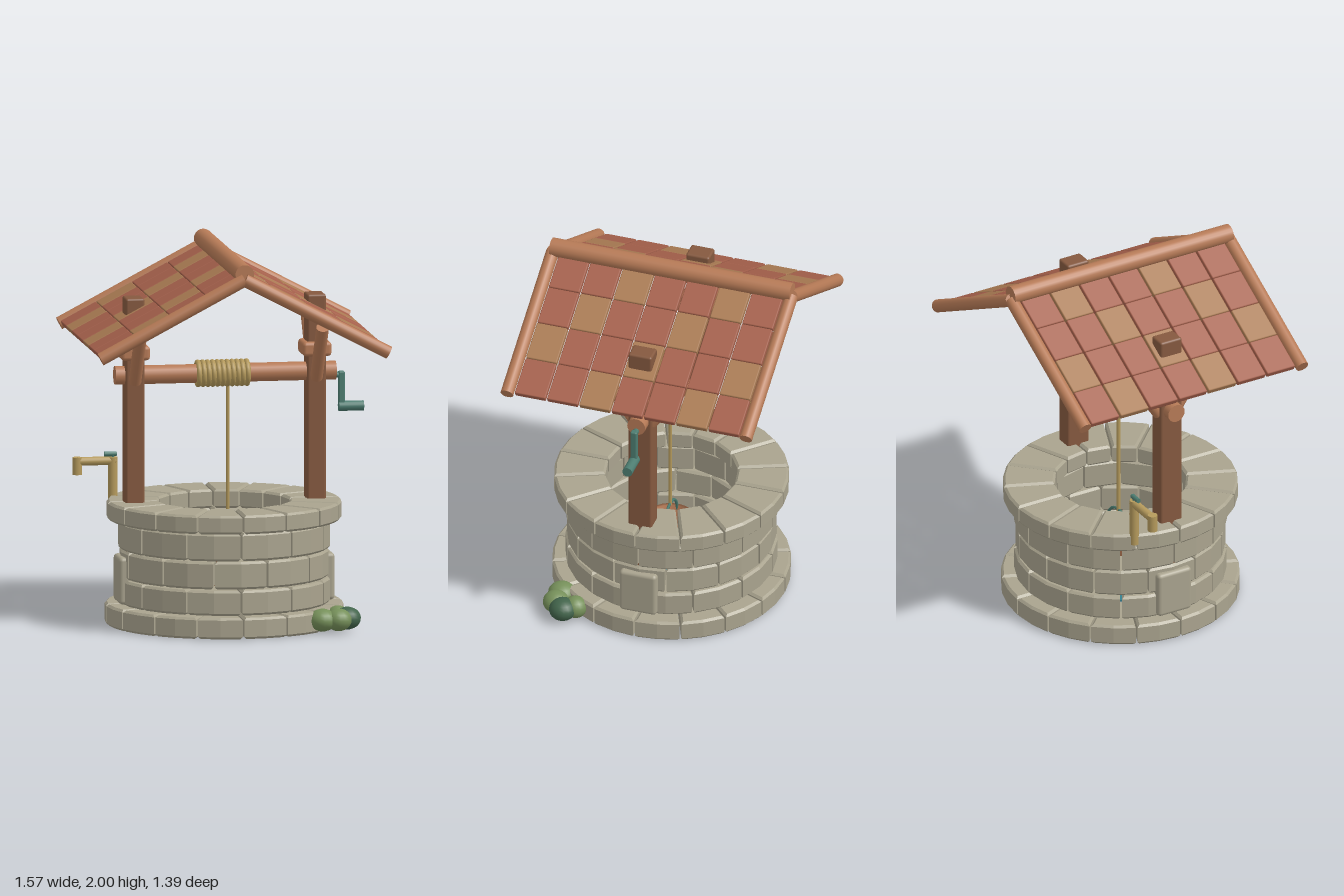
import * as THREE from 'three';
import { RoundedBoxGeometry } from 'three/addons/geometries/RoundedBoxGeometry.js';

const mat = (name, color) => {
  const m = new THREE.MeshStandardMaterial({ color });
  m.name = name;
  return m;
};

export function createModel() {
  const model = new THREE.Group();
  model.name = 'wishingWell';

  const stone = mat('stone', 0xa9a38e);
  const postWood = mat('dark wood', 0x85593f);
  const logWood = mat('log wood', 0xb67a56);
  const red = mat('red tile', 0xa5604b);
  const tan = mat('tan tile', 0xaa7b53);
  const brass = mat('brass and rope', 0xb59a5c);
  const teal = mat('painted iron', 0x4c7c70);
  const leaf = mat('leaf green', 0x76905a);
  const darkLeaf = mat('dark leaf green', 0x42644b);
  const water = mat('water', 0x35808f);

  const add = (name, geometry, material, x = 0, y = 0, z = 0, parent = model) => {
    const mesh = new THREE.Mesh(geometry, material);
    mesh.name = name;
    mesh.position.set(x, y, z);
    parent.add(mesh);
    return mesh;
  };
  const block = (name, w, h, d, r, material, x, y, z, parent) =>
    add(name, new RoundedBoxGeometry(w, h, d, 2, r), material, x, y, z, parent);
  // Round bar between two points
  const bar = (name, a, b, r, material, sides = 16) => {
    const from = new THREE.Vector3(...a), to = new THREE.Vector3(...b);
    const dir = to.clone().sub(from);
    const mesh = add(name, new THREE.CylinderGeometry(r, r, dir.length(), sides), material);
    mesh.position.copy(from).add(to).multiplyScalar(0.5);
    mesh.quaternion.setFromUnitVectors(new THREE.Vector3(0, 1, 0), dir.normalize());
    return mesh;
  };

  // One bevelled wedge of a stone ring
  const wedge = (inner, outer, angle, height) => {
    const b = 0.012, gap = 0.005, shape = new THREE.Shape();
    const corner = (r, t) => {
      const a = t * (angle / 2 - gap / r);
      return new THREE.Vector2(r * Math.cos(a), r * Math.sin(a));
    };
    shape.setFromPoints([
      corner(inner, -1), corner(outer, -1), corner(outer, 0), corner(outer, 1), corner(inner, 1),
    ]);
    const geo = new THREE.ExtrudeGeometry(shape, {
      depth: height - 2 * b, bevelThickness: b, bevelSize: b, bevelOffset: -b, bevelSegments: 1,
    });
    return geo.translate(0, 0, b).rotateX(-Math.PI / 2);
  };

  // Stone courses: bottom, top, inner radius, outer radius, stones, shift in stones
  const courses = [
    [0, 0.113, 0.36, 0.63, 16, 0],
    [0.115, 0.248, 0.38, 0.56, 12, 0],
    [0.254, 0.4, 0.38, 0.553, 12, 0.5],
    [0.405, 0.552, 0.38, 0.562, 12, 0],
    [0.557, 0.657, 0.35, 0.62, 16, 0],
  ];
  courses.forEach(([y0, y1, inner, outer, count, shift], c) => {
    const ring = new THREE.Group();
    ring.name = 'stoneCourse' + (c + 1);
    model.add(ring);
    const step = (Math.PI * 2) / count;
    const geo = wedge(inner, outer, step, y1 - y0);
    for (let i = 0; i < count; i++) {
      add('stone', geo, stone, 0, y0, 0, ring).rotation.y = (i + 0.5 + shift) * step;
    }
  });

  add('water', new THREE.CylinderGeometry(0.4, 0.4, 0.01, 40), water, 0, 0.14, 0);

  // Posts with collars, braces and a stone slab at each side
  for (const s of [-1, 1]) {
    const x = s * 0.485;
    block('post', 0.1, 1.4, 0.13, 0.012, postWood, x, 1.045, 0);
    block('collar', 0.155, 0.077, 0.18, 0.02, logWood, x, 1.455, 0);
    for (const f of [-1, 1]) {
      bar('brace', [x, 1.3, f * 0.05], [x, 1.595, f * 0.25], 0.034, logWood);
    }
    block('sideSlab', 0.06, 0.25, 0.205, 0.02, stone, s * 0.546, 0.245, 0);
  }

  // Winding axle, rope and bucket
  bar('axle', [-0.585, 1.33, 0], [0.595, 1.33, 0], 0.05, logWood, 20);
  const coil = new THREE.TorusGeometry(0.06, 0.014, 8, 24).rotateY(Math.PI / 2);
  for (let i = 0; i < 11; i++) add('ropeCoil', coil, brass, -0.14 + i * 0.026, 1.33, 0);
  bar('rope', [0.02, 0.45, 0], [0.02, 1.28, 0], 0.01, brass, 8);
  const pail = [[0, 0], [0.1, 0], [0.13, 0.19], [0.112, 0.19], [0.088, 0.02], [0, 0.02]]
    .map(([r, y]) => new THREE.Vector2(r, y));
  add('bucket', new THREE.LatheGeometry(pail, 20), logWood, 0.02, 0.18, 0);
  add('bucketHandle', new THREE.TorusGeometry(0.115, 0.008, 6, 20, Math.PI), teal, 0.02, 0.345, 0);

  // Crank
  bar('crankHub', [0.59, 1.305, 0], [0.64, 1.305, 0], 0.016, teal, 12);
  block('crankArm', 0.034, 0.205, 0.036, 0.008, teal, 0.627, 1.222, 0);
  bar('crankHandle', [0.612, 1.138, 0], [0.745, 1.138, 0], 0.027, teal, 16);

  // Roof slopes made of tiles
  const angle = Math.atan2(0.405, 0.77), tileLength = 0.216, pitch = 0.179;
  const tileGeo = new RoundedBoxGeometry(tileLength - 0.002, 0.034, pitch - 0.009, 1, 0.006);
  for (const s of [-1, 1]) {
    const slope = new THREE.Group();
    slope.name = 'roofSlope';
    slope.position.y = 1.92;
    slope.rotation.z = -s * angle;
    model.add(slope);
    for (let k = 0; k < 4; k++) {
      for (let j = 0; j < 7; j++) {
        add('tile', tileGeo, (j - k + 3) % 3 === 1 ? tan : red,
          s * (k + 0.5) * tileLength, 0, (j - 3) * pitch - 0.004, slope);
      }
    }
    // Gable logs
    for (const z of [-0.665, 0.66]) {
      bar('gableLog', [0, 1.92, z], [s * 0.77, 1.515, z], 0.035, logWood);
    }
  }
  bar('ridgeLog', [0, 1.95, -0.67], [0, 1.95, 0.665], 0.05, logWood, 20);

  // Tap on the rim
  const tz = -0.24;
  bar('tapPipe', [-0.555, 0.6, tz], [-0.555, 0.86, tz], 0.025, brass);
  bar('tapArm', [-0.745, 0.84, tz], [-0.54, 0.84, tz], 0.023, brass);
  bar('tapSpout', [-0.745, 0.77, tz], [-0.745, 0.862, tz], 0.026, brass);
  bar('tapStem', [-0.555, 0.85, tz], [-0.555, 0.88, tz], 0.01, teal, 10);
  bar('tapHandle', [-0.6, 0.876, tz], [-0.535, 0.876, tz], 0.013, teal, 10);

  // Bush at the foot of the wall
  const ball = new THREE.SphereGeometry(1, 16, 12);
  const leaves = [
    [0.45, 0.46, 0.075, leaf], [0.535, 0.465, 0.07, leaf],
    [0.59, 0.41, 0.073, darkLeaf], [0.55, 0.352, 0.062, leaf],
  ];
  for (const [x, z, r, m] of leaves) add('bush', ball, m, x, 0.068, z).scale.set(r, 0.06, r);

  return model;
}
